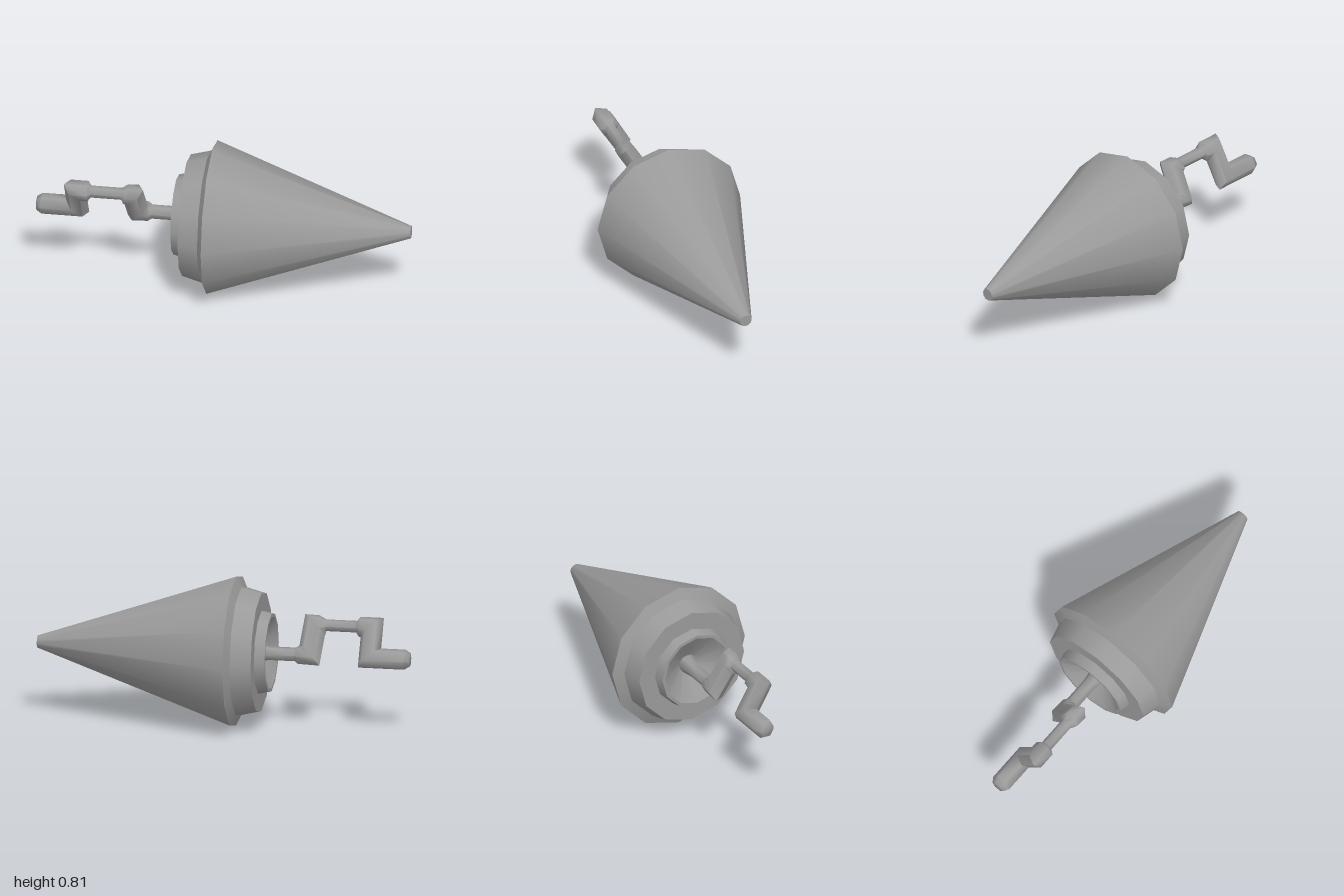
import * as THREE from 'three';
import { mergeGeometries, toCreasedNormals } from 'three/addons/utils/BufferGeometryUtils.js';

const AXIS_Y = 0.409;

// One lathe band per profile step: smooth around the axis, sharp between bands
function bandedLathe(profile, sides) {
  const bands = [];
  for (let i = 0; i < profile.length - 1; i++) {
    const points = [profile[i], profile[i + 1]].map(([r, x]) => new THREE.Vector2(r, x));
    bands.push(new THREE.LatheGeometry(points, sides));
  }
  return mergeGeometries(bands).rotateZ(-Math.PI / 2);
}

// Bar swept through rings: [x, offset along the throw, radius, miter slope]
function sweepBar(rings, sides, throwDir, origin) {
  const side = new THREE.Vector3(1, 0, 0).cross(throwDir);
  const positions = [], index = [];
  const point = (x, u, w) => {
    const p = origin.clone().addScaledVector(throwDir, u).addScaledVector(side, w);
    positions.push(x, p.y, p.z);
  };
  for (const [x, offset, r, slope] of rings) {
    for (let i = 0; i < sides; i++) {
      const a = (i / sides) * Math.PI * 2;
      const u = r * Math.cos(a);
      point(x + slope * u, offset + u, r * Math.sin(a));
    }
  }
  for (let k = 0; k < rings.length - 1; k++) {
    for (let i = 0; i < sides; i++) {
      const j = (i + 1) % sides;
      const a = k * sides + i, b = k * sides + j;
      index.push(a, b, b + sides, a, b + sides, a + sides);
    }
  }
  // end caps
  const last = rings.length - 1, n = rings.length * sides;
  point(rings[0][0], rings[0][1], 0);
  point(rings[last][0], rings[last][1], 0);
  for (let i = 0; i < sides; i++) {
    const j = (i + 1) % sides;
    index.push(n, j, i, n + 1, last * sides + i, last * sides + j);
  }
  const geometry = new THREE.BufferGeometry();
  geometry.setAttribute('position', new THREE.Float32BufferAttribute(positions, 3));
  geometry.setIndex(index);
  return toCreasedNormals(geometry, 1.1);
}

export function createModel() {
  const group = new THREE.Group();
  const material = new THREE.MeshStandardMaterial({ color: 0x9a9a9a });

  // Twelve-sided cone with stepped back and dished socket
  const profile = [
    [0, -0.16], [0.05, -0.16], [0.195, -0.255], [0.212, -0.255], [0.225, -0.2], [0.322, -0.2],
    [0.35, -0.092], [0.407, -0.064], [0.033, 1], [0, 1],
  ];
  const cone = new THREE.Mesh(bandedLathe(profile, 12), material);
  cone.name = 'cone';
  cone.position.y = AXIS_Y;
  group.add(cone);

  // Hexagonal crank: handle, mitred arm up, slim pin, mitred arm down, slim shaft
  const throwDir = new THREE.Vector3(0, Math.cos(Math.PI / 6), Math.sin(Math.PI / 6));
  const T = 0.167;
  const rings = [
    [-1, 0, 0.037, 0], [-0.972, 0, 0.055, 0],
    [-0.782, 0, 0.055, -1.05], [-0.782, T, 0.055, -1.05],
    [-0.715, T, 0.055, 0], [-0.698, T, 0.032, 0],
    [-0.535, T, 0.032, 0], [-0.513, T, 0.053, 0.4],
    [-0.475, T, 0.055, 1.05], [-0.46, 0, 0.055, 1.05],
    [-0.403, 0, 0.051, 0], [-0.385, 0, 0.0375, 0],
    [-0.25, 0, 0.0375, 0], [-0.15, 0, 0.05, 0],
  ];
  const crank = new THREE.Mesh(
    sweepBar(rings, 6, throwDir, new THREE.Vector3(0, AXIS_Y, -0.01)), material);
  crank.name = 'crankHandle';
  group.add(crank);

  return group;
}
